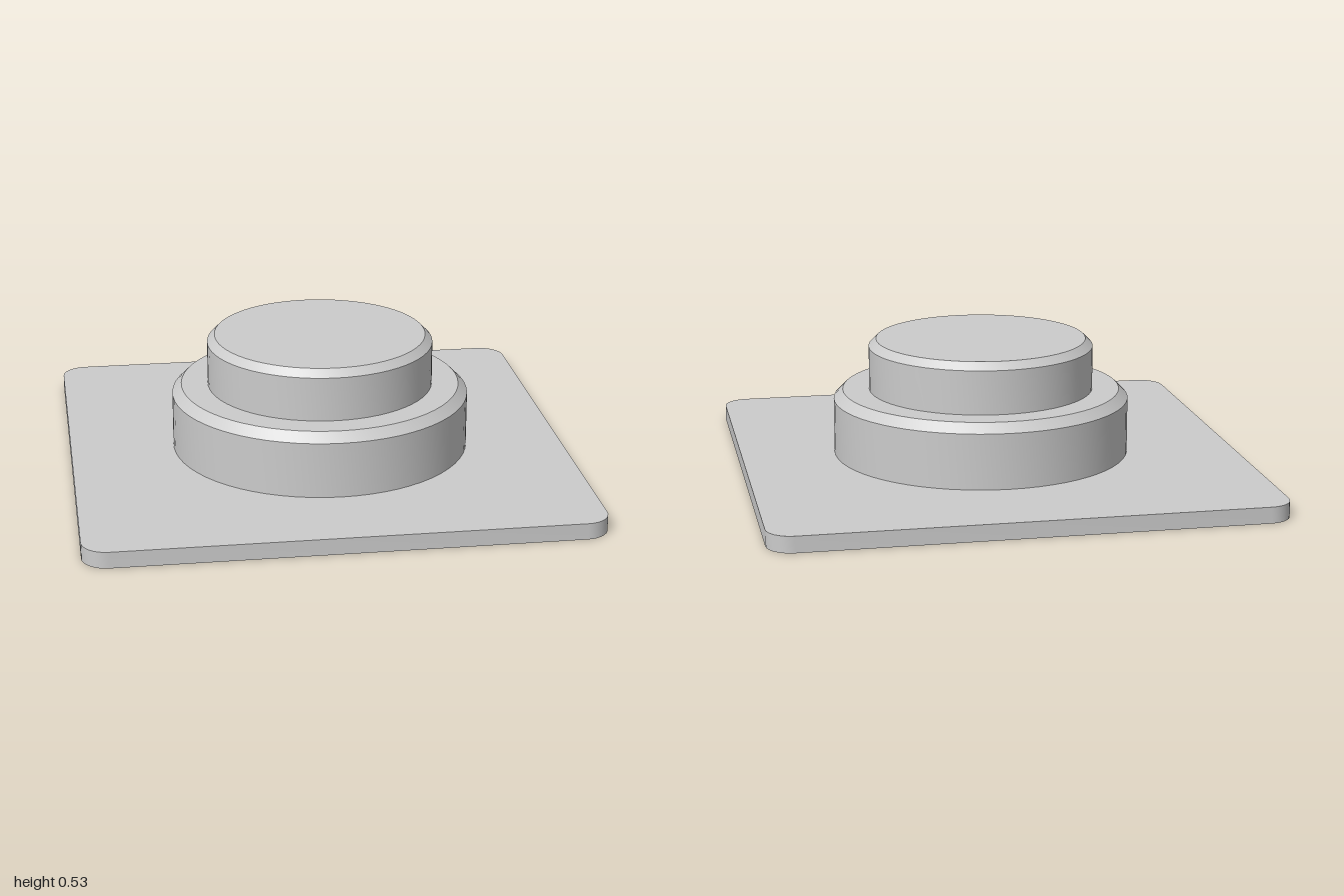
import * as THREE from 'three';
import { toCreasedNormals } from 'three/addons/utils/BufferGeometryUtils.js';

const material = new THREE.MeshStandardMaterial({ color: 0xcccccc });

function addMesh(parent, name, geometry) {
  const mesh = new THREE.Mesh(toCreasedNormals(geometry, 0.5), material);
  mesh.name = name;
  parent.add(mesh);
  return mesh;
}

// Square plate with rounded corners, lying flat from y = 0 up
function plateGeometry(half, radius, thickness) {
  const shape = new THREE.Shape();
  const c = half - radius;
  [[c, c], [-c, c], [-c, -c], [c, -c]].forEach(([x, y], i) => {
    shape.absarc(x, y, radius, i * Math.PI / 2, (i + 1) * Math.PI / 2, false);
  });
  shape.closePath();
  const geometry = new THREE.ExtrudeGeometry(shape, { depth: thickness, bevelEnabled: false, curveSegments: 4 });
  return geometry.rotateX(-Math.PI / 2);
}

// Closed disc with a chamfered top edge
function discGeometry(radius, bottom, top, chamfer) {
  const profile = [
    [0, bottom], [radius, bottom], [radius, top - chamfer], [radius - chamfer, top], [0, top],
  ].map(([x, y]) => new THREE.Vector2(x, y));
  return new THREE.LatheGeometry(profile, 64);
}

export function createModel() {
  const group = new THREE.Group();
  group.name = 'steppedButton';

  addMesh(group, 'basePlate', plateGeometry(1, 0.1, 0.065));

  // Round steps sit slightly off the plate's centre
  const steps = new THREE.Group();
  steps.name = 'roundSteps';
  steps.position.set(0.02, 0, 0.017);
  addMesh(steps, 'lowerStep', discGeometry(0.602, 0.06, 0.326, 0.037));
  addMesh(steps, 'upperStep', discGeometry(0.457, 0.32, 0.533, 0.03));
  group.add(steps);

  return group;
}
